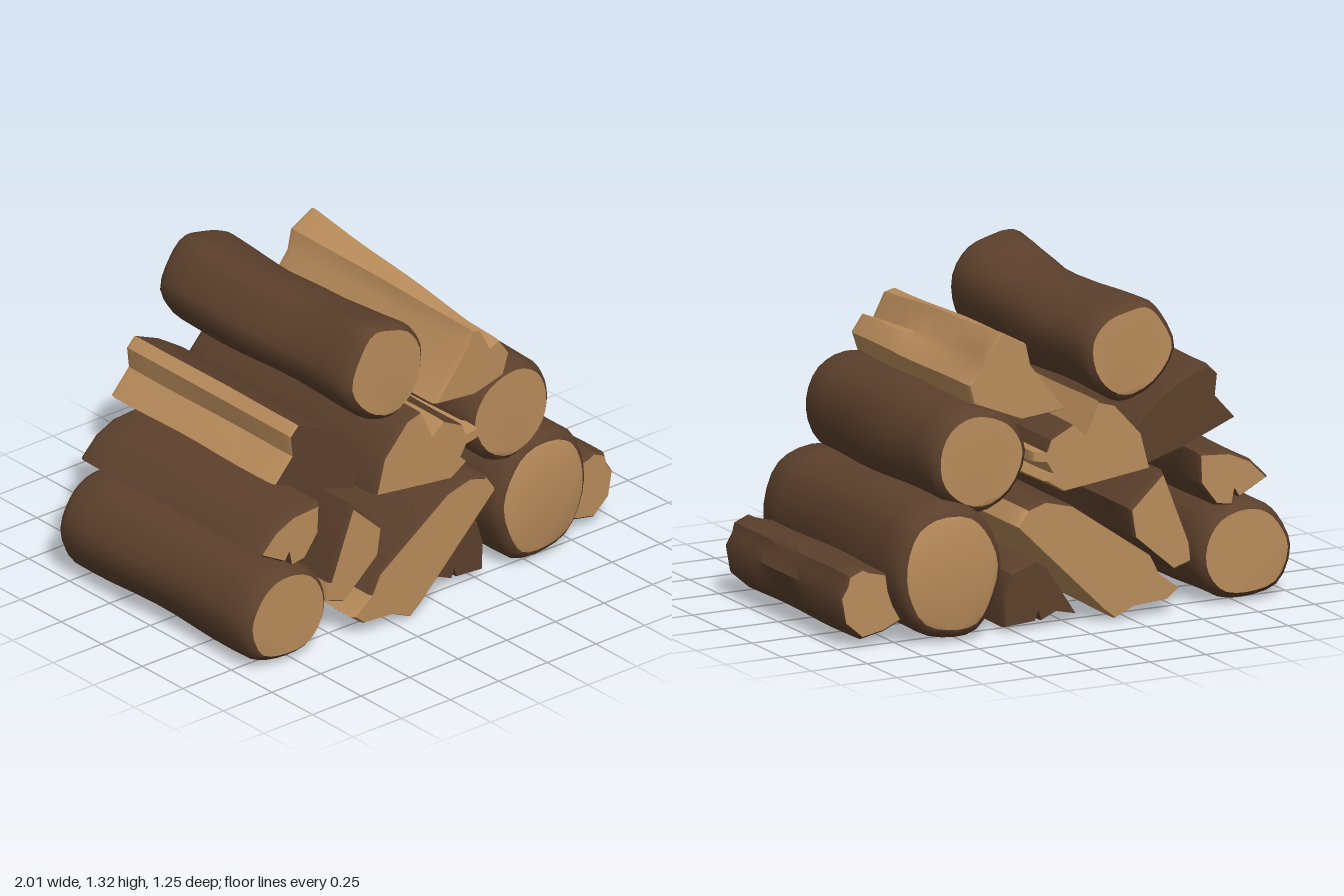
import * as THREE from 'three';
import { toCreasedNormals } from 'three/addons/utils/BufferGeometryUtils.js';

const bark = new THREE.MeshStandardMaterial({ color: 0x5c402c });
bark.name = 'bark';
const wood = new THREE.MeshStandardMaterial({ color: 0xb98c5b });
wood.name = 'cut wood';

const toVectors = (list) => list.map(([x, y]) => new THREE.Vector2(x, y));

// Smooth closed outline through a few points
function smooth(list, count = 28) {
  const curve = new THREE.CatmullRomCurve3(list.map(([x, y]) => new THREE.Vector3(x, y, 0)), true);
  return curve.getPoints(count).slice(0, count).map((p) => [p.x, p.y]);
}

// Lofts a clockwise outline along z, with rounded ends.
// sides: one letter per outline edge, b = bark, w = wood.
function loft(name, outline, o) {
  const { zFront, zBack, inset = 0.95, bevel = 0.025, back = outline, sides = 'b',
    cap = 'w', wobble = 0.006, crease = 0.6, warp = null } = o;
  const front = toVectors(outline), rear = toVectors(back), n = front.length;
  const centre = (pts) => pts.reduce((s, p) => s.add(p), new THREE.Vector2()).divideScalar(pts.length);
  const cf = centre(front), cr = centre(rear);

  // Stations along the length: [z, scale]
  const stations = [[zFront, inset], [zFront - bevel * 0.4, (1 + inset * 2) / 3 + (1 - inset) * 0.3]];
  const steps = 9;
  for (let i = 0; i <= steps; i++) {
    stations.push([THREE.MathUtils.lerp(zFront - bevel, zBack + bevel, i / steps), 1]);
  }
  stations.push([zBack + bevel * 0.4, stations[1][1]], [zBack, inset]);

  const rings = stations.map(([z, s]) => {
    const t = (zFront - z) / (zFront - zBack);
    const c = cf.clone().lerp(cr, t);
    return front.map((p, i) => {
      const q = p.clone().lerp(rear[i], t).sub(c);
      const a = Math.atan2(q.y, q.x);
      const bump = wobble * Math.sin(z * 6 + a * 3 + cf.x * 9) * Math.sin(Math.PI * t);
      q.multiplyScalar(s * (1 + bump / Math.max(q.length(), 0.05))).add(c);
      if (warp) warp(q, z);
      return new THREE.Vector3(q.x, Math.max(q.y, 0), z);
    });
  });

  const tris = { b: [], w: [] };
  const put = (key, ...pts) => pts.forEach((p) => tris[key].push(p.x, p.y, p.z));
  for (let r = 0; r < rings.length - 1; r++) {
    for (let i = 0; i < n; i++) {
      const j = (i + 1) % n, key = sides[i % sides.length];
      const a = rings[r][i], b = rings[r][j], c = rings[r + 1][i], d = rings[r + 1][j];
      put(key, a, b, d);
      put(key, a, d, c);
    }
  }
  // End faces
  [[rings[0], 1], [rings[rings.length - 1], -1]].forEach(([ring, facing]) => {
    const flat = ring.map((p) => new THREE.Vector2(p.x, p.y));
    for (const [i, j, k] of THREE.ShapeUtils.triangulateShape(flat, [])) {
      const turn = THREE.ShapeUtils.area([flat[i], flat[j], flat[k]]);
      if (turn * facing > 0) put(cap, ring[i], ring[j], ring[k]);
      else put(cap, ring[i], ring[k], ring[j]);
    }
  });

  const geometry = new THREE.BufferGeometry();
  geometry.setAttribute('position', new THREE.Float32BufferAttribute([...tris.b, ...tris.w], 3));
  geometry.addGroup(0, tris.b.length / 3, 0);
  geometry.addGroup(tris.b.length / 3, tris.w.length / 3, 1);
  const mesh = new THREE.Mesh(toCreasedNormals(geometry, crease), [bark, wood]);
  mesh.name = name;
  return mesh;
}

// Whole round log with bark wrapping over the rims
const roundLog = (name, pts, zFront, zBack, extra = {}) => loft(name, smooth(pts), {
  zFront, zBack, inset: 0.85, bevel: 0.05, wobble: 0.01, crease: 0.75, ...extra,
});

export function createModel() {
  const pile = new THREE.Group();
  pile.name = 'firewoodPile';

  // Round logs
  pile.add(
    roundLog('lowerLeftLog', [[-1, 0.2], [-0.95, 0.32], [-0.87, 0.39], [-0.76, 0.405], [-0.64, 0.36],
      [-0.575, 0.25], [-0.58, 0.13], [-0.66, 0.03], [-0.8, 0.01], [-0.94, 0.05]], 0.59, -0.59),
    roundLog('lowerRightLog', [[0.315, 0.3], [0.37, 0.45], [0.46, 0.54], [0.62, 0.555], [0.73, 0.5],
      [0.79, 0.35], [0.78, 0.2], [0.7, 0.06], [0.56, 0.015], [0.43, 0.03], [0.36, 0.13]], 0.56, -0.63),
    roundLog('middleRightLog', [[0.17, 0.72], [0.22, 0.84], [0.31, 0.9], [0.44, 0.92], [0.55, 0.86],
      [0.6, 0.74], [0.58, 0.61], [0.49, 0.52], [0.37, 0.49], [0.24, 0.56]], 0.56, -0.56),
    roundLog('topLog', [[-0.47, 1.08], [-0.42, 1.22], [-0.34, 1.31], [-0.24, 1.3], [-0.13, 1.26],
      [-0.06, 1.16], [-0.07, 1.02], [-0.14, 0.92], [-0.24, 0.88], [-0.38, 0.94]], 0.57, -0.61, {
      // crown rises toward both ends, most at the front
      warp: (p, z) => {
        const up = Math.max(p.y - 1.08, 0) / 0.23;
        p.y += up * (Math.max(z - 0.15, 0) * 0.16 - 0.05 + Math.max(-z - 0.2, 0) * 0.07);
      },
    }),
  );

  // Split pieces
  pile.add(
    loft('smallRightSplit', [[0.71, 0.09], [0.76, 0.2], [0.79, 0.29], [0.87, 0.31], [0.9, 0.325],
      [0.96, 0.3], [0.97, 0.26], [1, 0.21], [0.98, 0.1], [0.9, 0.03], [0.8, 0.05]],
    { zFront: 0.46, zBack: -0.52, inset: 0.92, crease: 0.8 }),

    loft('lowBarkSplit', [[-0.03, 0.04], [0.1, 0.24], [0.16, 0.28], [0.27, 0.24], [0.3, 0.14],
      [0.295, 0.02], [0.16, 0.03], [0.145, 0.075], [0.13, 0.03], [0.06, 0.06]],
    { zFront: 0.5, zBack: -0.58, cap: 'b' }),

    loft('leaningPlank', [[-0.47, 0.1], [-0.38, 0.17], [-0.34, 0.25], [0.02, 0.5], [0.14, 0.53],
      [0.22, 0.505], [0.265, 0.44], [-0.13, 0.05], [-0.18, 0.01], [-0.27, 0.05], [-0.42, 0.06]],
    { zFront: 0.62, zBack: -0.62, sides: 'wbbbbwwwwww', inset: 0.97 }),

    loft('narrowWedge', [[-0.56, 0.18], [-0.55, 0.26], [-0.43, 0.57], [-0.28, 0.43], [-0.3, 0.31],
      [-0.48, 0.155]],
    { zFront: 0.57, zBack: -0.55, sides: 'wbbbbw', inset: 0.93 }),

    loft('smallLeftWedge', [[-0.9, 0.49], [-0.82, 0.57], [-0.72, 0.615], [-0.58, 0.625], [-0.585, 0.5],
      [-0.66, 0.4], [-0.73, 0.39], [-0.745, 0.46], [-0.77, 0.42]],
    { zFront: 0.55, zBack: -0.56, inset: 0.9 }),

    loft('upperLeftSplit', [[-0.77, 0.74], [-0.68, 0.84], [-0.69, 0.93], [-0.65, 0.97], [-0.53, 0.92],
      [-0.42, 0.85], [-0.32, 0.75], [-0.36, 0.59], [-0.55, 0.65]],
    { zFront: 0.49, zBack: -0.52, sides: 'wwwbbbbbb', cap: 'b', inset: 0.97 }),

    loft('centreSplit', [[-0.35, 0.6], [-0.31, 0.75], [-0.19, 0.88], [-0.12, 0.9], [-0.06, 0.77],
      [0, 0.82], [0.1, 0.77], [0.12, 0.72], [0.18, 0.73], [0.18, 0.69], [0.12, 0.68], [0.09, 0.63],
      [0.12, 0.6], [0.04, 0.55], [-0.12, 0.57]],
    { zFront: 0.61, zBack: -0.6, sides: 'bbbwwbbwwwwwwww', inset: 0.97 }),

    // ridge climbs toward the back
    loft('topRightSplit', [[0, 0.87], [0.17, 1.08], [0.19, 1.14], [0.23, 1.13], [0.28, 1.03],
      [0.33, 1.05], [0.38, 0.98], [0.35, 0.89], [0.2, 0.85]],
    { zFront: 0.56, zBack: -0.55, sides: 'w', inset: 0.96, crease: 0.8,
      back: [[0, 0.87], [0.16, 1.07], [0.18, 1.16], [0.29, 1.22], [0.36, 1.14],
        [0.37, 1.08], [0.44, 1.02], [0.42, 0.94], [0.2, 0.85]] }),
  );
  return pile;
}
